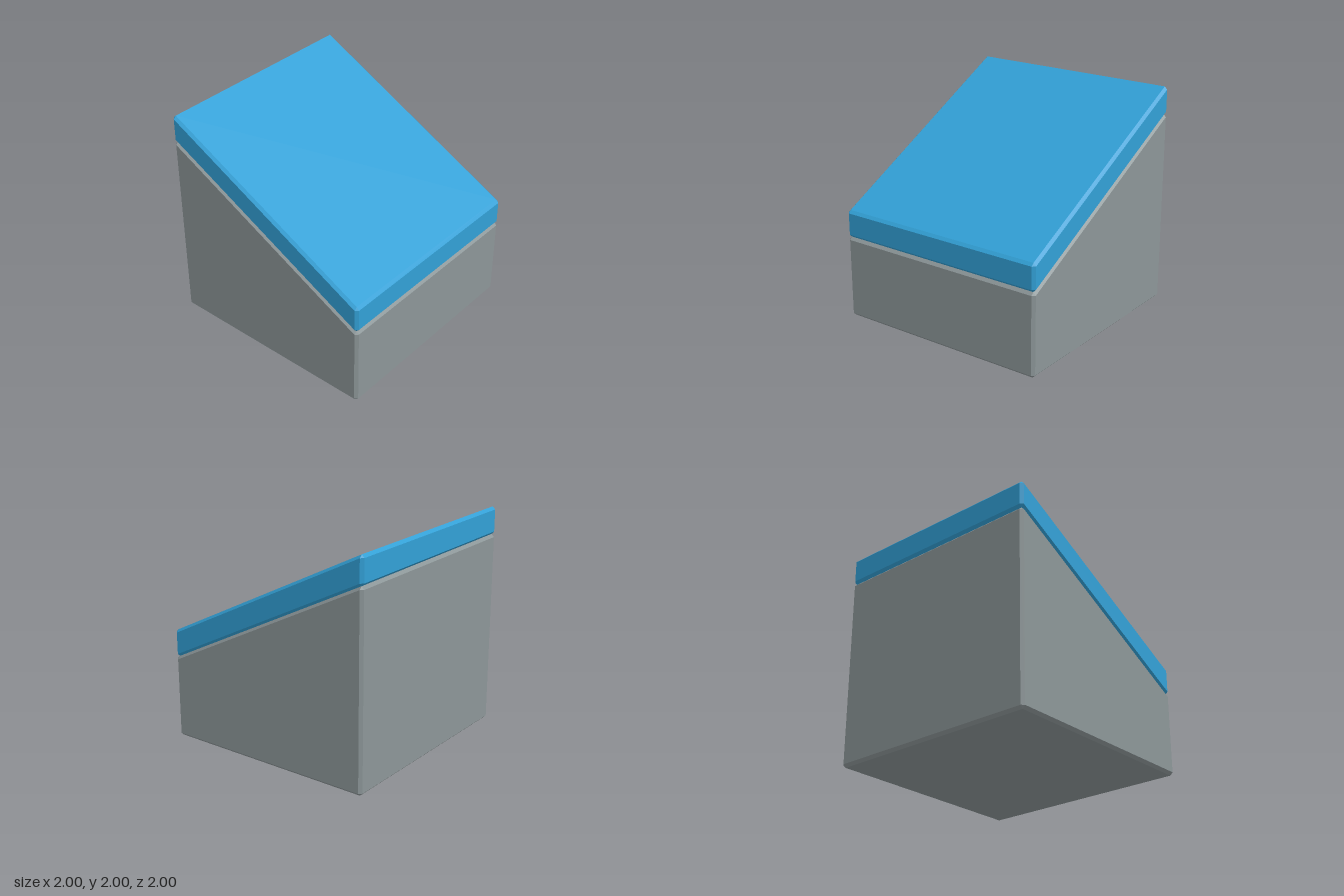
import * as THREE from 'three';
import { ConvexGeometry } from 'three/addons/geometries/ConvexGeometry.js';

const BEVEL = 0.025;

// Block with chamfered edges; bottom and top are heights [at the front, at the back]
function chamferedBlock(bottom, top) {
  const inner = 1 - BEVEL;
  const points = [];
  for (const sx of [-1, 1]) {
    for (const sz of [-1, 1]) {
      const end = sz > 0 ? 0 : 1;
      for (const [y, inward] of [[bottom[end], BEVEL], [top[end], -BEVEL]]) {
        points.push(
          new THREE.Vector3(sx * inner, y, sz * inner),
          new THREE.Vector3(sx, y + inward, sz * inner),
          new THREE.Vector3(sx * inner, y + inward, sz)
        );
      }
    }
  }
  return new ConvexGeometry(points);
}

export function createModel() {
  const grey = new THREE.MeshStandardMaterial({ color: 0x8c9698 });
  grey.name = 'grey';
  const blue = new THREE.MeshStandardMaterial({ color: 0x32a0d6 });
  blue.name = 'blue';

  const group = new THREE.Group();
  group.name = 'slopedBlock';

  // Wedge-shaped body on a flat base
  const body = new THREE.Mesh(chamferedBlock([0, 0], [0.752, 1.752]), grey);
  body.name = 'body';

  // Sloping slab resting on the body
  const slab = new THREE.Mesh(chamferedBlock([0.752, 1.752], [1, 2]), blue);
  slab.name = 'roofSlab';

  group.add(body, slab);
  return group;
}
